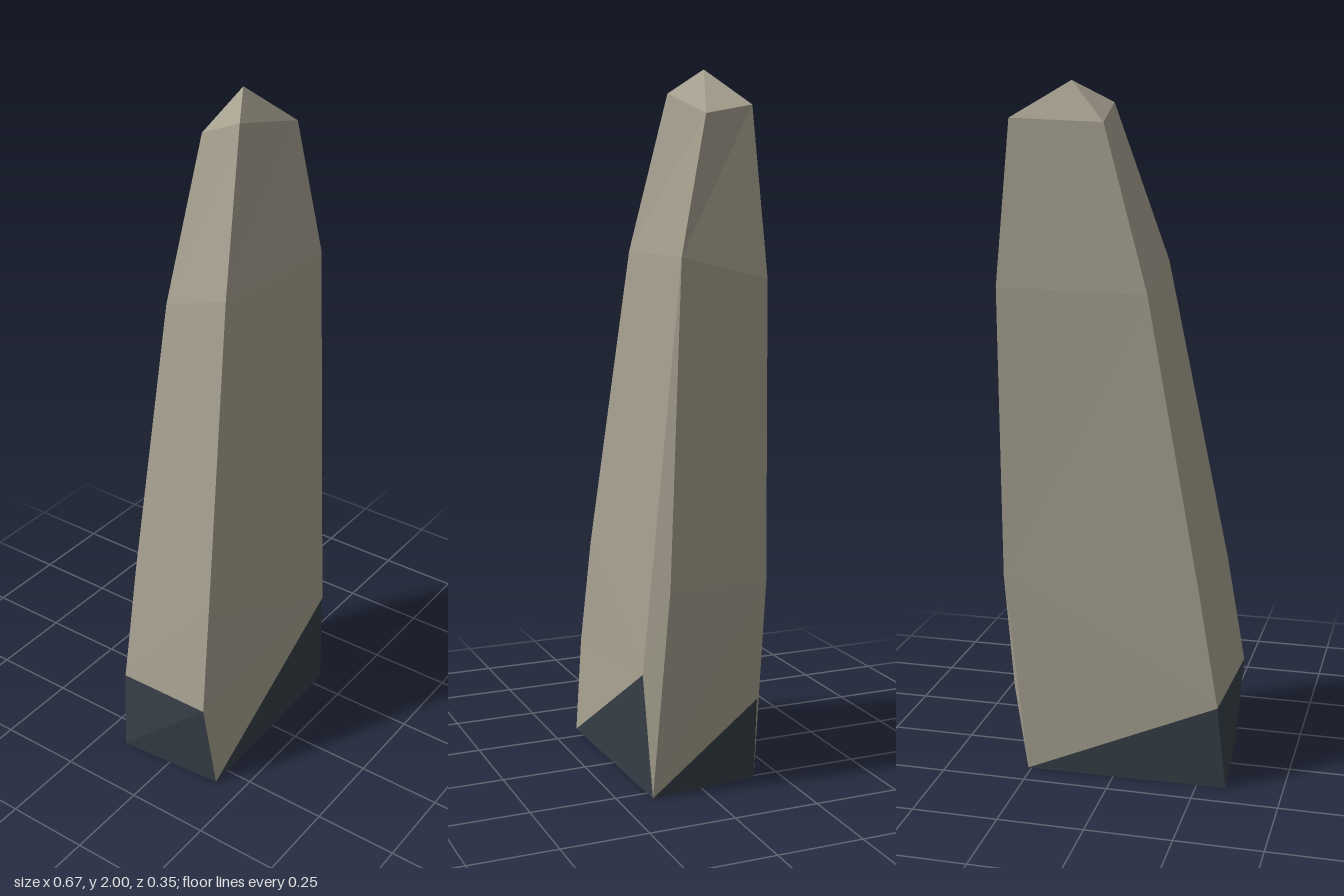
import * as THREE from 'three';

// Corner columns, bottom to top, as [x, y, z]
const frontLeft = [[-0.31, 0, 0.167], [-0.335, 0.28, 0.14], [-0.283, 0.6, 0.125], [-0.11, 1.5, 0.062], [0.035, 1.94, 0.003]];
const frontRight = [[0.292, 0, 0.155], [0.26, 0.35, 0.172], [0.322, 0.6, 0.115], [0.325, 1.5, 0.085], [0.305, 1.875, 0.007]];
const backRight = [[0.26, 0, -0.173], [0.302, 0.25, -0.16], [0.325, 0.6, -0.174], [0.335, 1.44, -0.163], [0.3, 1.9, -0.13]];
const backLeft = [[-0.335, 0, -0.165], [-0.31, 0.25, -0.175], [-0.25, 0.6, -0.17], [-0.095, 1.43, -0.151], [0.035, 1.89, -0.12]];
const tip = [0.14, 2, -0.06];

// Flat-shaded mesh from convex polygons, corners anticlockwise from outside
function facets(name, polygons, material) {
  const positions = [];
  for (const p of polygons) {
    for (let i = 1; i < p.length - 1; i++) positions.push(...p[0], ...p[i], ...p[i + 1]);
  }
  const geometry = new THREE.BufferGeometry();
  geometry.setAttribute('position', new THREE.Float32BufferAttribute(positions, 3));
  geometry.computeVertexNormals();
  const mesh = new THREE.Mesh(geometry, material);
  mesh.name = name;
  return mesh;
}

// Side wall between two columns, from one level up to another
function wall(a, b, from, to) {
  const quads = [];
  for (let i = from; i < to; i++) quads.push([a[i], b[i], b[i + 1], a[i + 1]]);
  return quads;
}

export function createModel() {
  const stone = new THREE.MeshStandardMaterial({ color: 0xa59f8e });
  stone.name = 'weathered stone';
  const slate = new THREE.MeshStandardMaterial({ color: 0x363f48 });
  slate.name = 'dark slate';

  const FL = frontLeft, FR = frontRight, BR = backRight, BL = backLeft;
  const model = new THREE.Group();
  model.name = 'standingStone';

  model.add(
    facets('frontFace', [
      [FL[0], FR[1], FL[1]], [FL[1], FR[1], FL[2]], [FL[2], FR[1], FR[3]],
      [FL[2], FR[3], FL[3]], ...wall(FL, FR, 3, 4),
    ], stone),
    facets('frontChamfer', [[FR[0], FR[2], FR[1]], [FR[1], FR[2], FR[3]]], stone),
    facets('rightFace', [[FR[0], BR[1], BR[2], FR[2]], ...wall(FR, BR, 2, 4)], stone),
    facets('backChamfer', [[BR[0], BR[2], BR[1]]], stone),
    facets('backFace', [
      [BR[0], BL[1], BR[2]], [BL[1], BL[2], BR[2]], ...wall(BR, BL, 2, 4),
    ], stone),
    facets('leftFace', wall(BL, FL, 1, 4), stone),
  );

  // Four facets rising to the tip
  const columns = [FL, FR, BR, BL];
  model.add(facets('pointedTop', columns.map((c, i) => [c[4], columns[(i + 1) % 4][4], tip]), stone));

  // Broken dark foot
  model.add(facets('foot', [
    [FL[0], FR[0], FR[1]], [FR[0], BR[0], BR[1]], [BR[0], BL[0], BL[1]],
    [BL[0], FL[0], FL[1], BL[1]], [FL[0], BL[0], BR[0], FR[0]],
  ], slate));

  return model;
}
